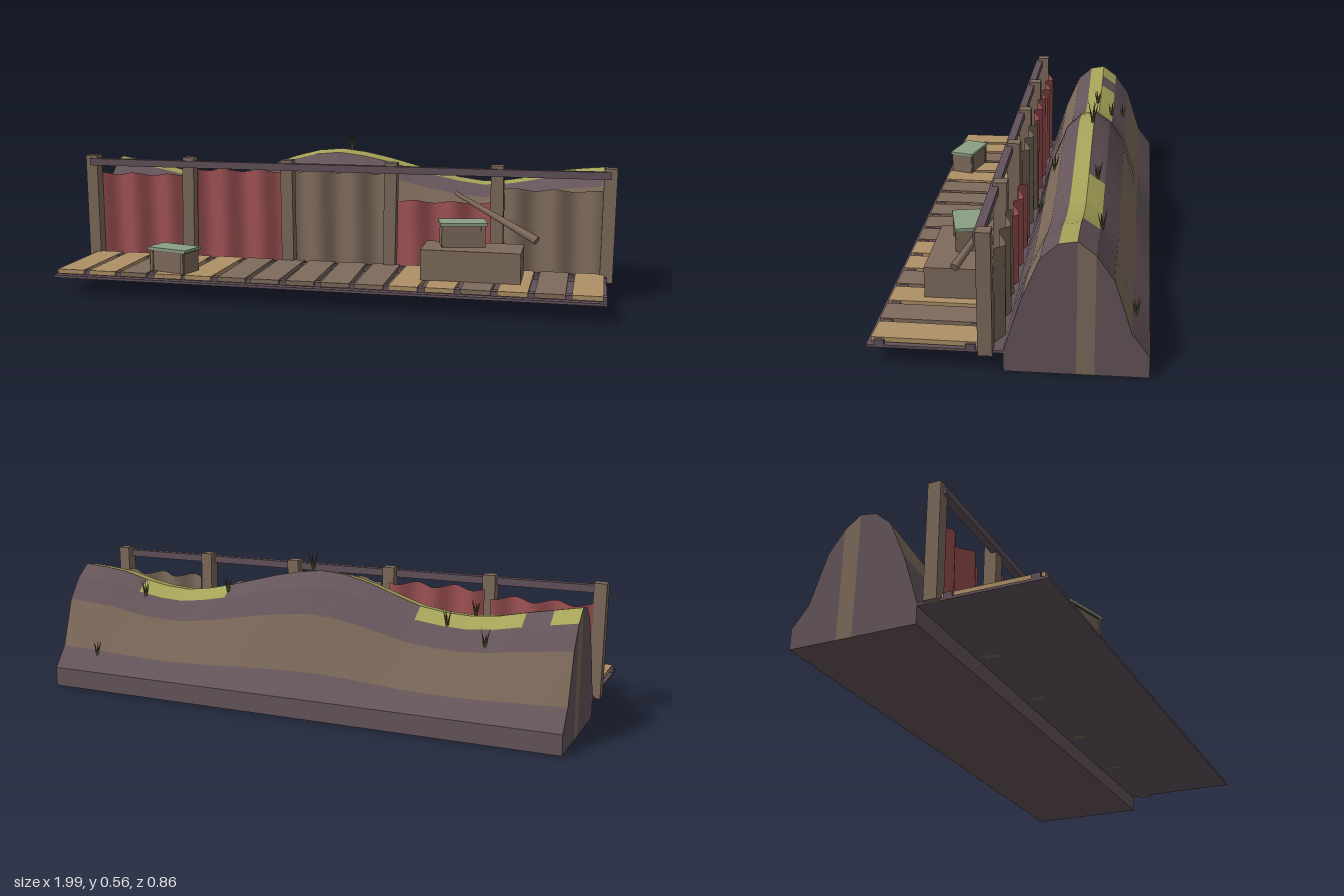
import * as THREE from 'three';

const mat = (name, color, extra = {}) => Object.assign(new THREE.MeshStandardMaterial({ color, ...extra }), { name });

export function createModel() {
  const root = new THREE.Group();
  root.name = 'trench';
  const M = {
    earth: mat('dark earth', 0x65555a, { flatShading: true }),
    clay: mat('brown clay', 0x7e6b5b, { flatShading: true }),
    turf: mat('yellow turf', 0xa5a258, { flatShading: true }),
    pale: mat('pale wood', 0xae9066),
    wood: mat('brown wood', 0x7e6b5b),
    dark: mat('dark wood', 0x62525a),
    red: mat('red cloth', 0x9c5052, { side: THREE.DoubleSide }),
    brown: mat('brown cloth', 0x7e6b5b, { side: THREE.DoubleSide }),
    green: mat('green lid', 0x8a9f85),
    grass: mat('grass', 0x6a653f),
  };
  const add = (parent, name, geo, material, x = 0, y = 0, z = 0, ry = 0) => {
    const m = new THREE.Mesh(geo, material);
    m.name = name;
    m.position.set(x, y, z);
    m.rotation.y = ry;
    parent.add(m);
    return m;
  };
  const box = (parent, name, w, h, d, material, x, y, z, ry) =>
    add(parent, name, new THREE.BoxGeometry(w, h, d), material, x, y, z, ry);
  let seed = 7;
  const rnd = () => (seed = (seed * 16807) % 2147483647) / 2147483647;

  // Earth bank: one cross-section swept along a wavy ridge
  const ridge = new THREE.SplineCurve([
    [-0.97, 0.43], [-0.8, 0.40], [-0.6, 0.368], [-0.4, 0.39], [-0.25, 0.445], [-0.05, 0.483],
    [0.15, 0.45], [0.32, 0.405], [0.5, 0.372], [0.65, 0.385], [0.8, 0.42], [0.97, 0.437],
  ].map(p => new THREE.Vector2(...p)));
  const ridgePts = ridge.getPoints(200);
  const height = x => (ridgePts.find(p => p.x >= x - 1e-6) || ridgePts[200]).y;
  const F = [0, 0.48, 0.84, 0.975, 1, 0.885, 0.67, 0.2, 0];
  const surfaceY = (x, i) => 0.07 + F[i] * (height(x) - 0.07);
  const zAt = i => 0.01 - 0.055 * i;
  const groundY = (x, z) => {
    const t = Math.min(7.99, Math.max(0, (0.01 - z) / 0.055)), i = Math.floor(t);
    return THREE.MathUtils.lerp(surfaceY(x, i), surfaceY(x, i + 1), t - i);
  };
  const faces = { earth: [], clay: [], turf: [] };
  const quad = (key, a, b, c, d) => faces[key].push(...a, ...b, ...c, ...a, ...c, ...d);
  const N = 21, L = 0.97;
  const at = (x, i) => i < 0 ? [x, 0, zAt(0)] : i > 8 ? [x, 0, zAt(8)] : [x, surfaceY(x, i), zAt(i)];
  const turfPatch = s => s === 0 || (s >= 2 && s <= 5) || (s >= 14 && s <= 17);
  for (let s = 0; s < N; s++) {
    const x0 = -L + (2 * L * s) / N, x1 = -L + (2 * L * (s + 1)) / N;
    for (let i = -1; i < 9; i++) {
      const key = i === 3 || (i === 4 && turfPatch(s)) ? 'turf' : i === 1 || i === 6 ? 'clay' : 'earth';
      quad(key, at(x0, i), at(x1, i), at(x1, i + 1), at(x0, i + 1));
    }
  }
  for (let i = 0; i < 8; i++) {
    const key = i === 4 ? 'clay' : 'earth';
    const strip = x => [[x, 0, zAt(i)], [x, 0, zAt(i + 1)], at(x, i + 1), at(x, i)];
    quad(key, ...strip(L));
    quad(key, ...strip(-L).reverse());
  }
  quad('earth', [-L, 0, zAt(8)], [L, 0, zAt(8)], [L, 0, zAt(0)], [-L, 0, zAt(0)]);
  const bank = new THREE.Group();
  bank.name = 'earthBank';
  root.add(bank);
  for (const key in faces) {
    const g = new THREE.BufferGeometry();
    g.setAttribute('position', new THREE.Float32BufferAttribute(faces[key], 3));
    g.computeVertexNormals();
    add(bank, key + 'Bands', g, M[key]);
  }

  // Grass tufts
  [[-0.675, -0.305], [-0.61, -0.2], [-0.53, -0.26], [-0.01, -0.205], [0.32, -0.24], [0.66, -0.27],
    [0.81, -0.385], [0.23, -0.035], [0.11, -0.075]].forEach(([x, z], k) => {
    const tuft = new THREE.Group();
    tuft.name = 'grassTuft';
    tuft.position.set(x, groundY(x, z) - 0.005, z);
    for (let j = 0; j < 5; j++) {
      const h = (k === 3 ? 0.075 : 0.05) + 0.025 * rnd();
      const blade = add(tuft, 'blade', new THREE.ConeGeometry(0.004, h, 4).translate(0, h / 2, 0), M.grass);
      const a = j * 1.26 + k;
      blade.rotation.set(0.25 * Math.cos(a), 0, 0.25 * Math.sin(a));
    }
    root.add(tuft);
  });

  // Duckboard floor
  box(root, 'floorBase', 1.94, 0.009, 0.42, M.dark, 0, 0.0645, 0.22);
  for (const z of [0.11, 0.39]) box(root, 'floorJoist', 1.94, 0.016, 0.03, M.dark, 0, 0.077, z);
  const paleBoards = [0, 1, 3, 4, 10, 11, 13, 15];
  for (let i = 0; i < 16; i++) {
    box(root, 'floorBoard', 0.1, 0.016, 0.345, paleBoards.includes(i) ? M.pale : M.wood,
      -0.97 + 0.12125 * (i + 0.5), 0.081, 0.243, (rnd() - 0.5) * 0.07);
  }

  // Posts and top rail
  const postX = i => -0.97 + 0.388 * i;
  for (let i = 0; i < 6; i++) {
    const p = box(root, 'post', 0.045, 0.405, 0.045, M.wood, postX(i), 0.2625, 0.0625);
    p.rotation.z = (i % 2 ? -1 : 1) * 0.012;
  }
  box(root, 'topRail', 1.95, 0.026, 0.028, M.dark, 0, 0.44, 0.08);

  // Hanging corrugated cloths
  [['red', 0.39], ['red', 0.415], ['brown', 0.42], ['red', 0.32], ['brown', 0.375]].forEach(([key, top], n) => {
    const g = new THREE.PlaneGeometry(0.36, 1, 40, 3);
    const p = g.attributes.position;
    for (let i = 0; i < p.count; i++) {
      const x = p.getX(i), v = p.getY(i) + 0.5;
      const wave = Math.cos((x / 0.36 + 0.5) * Math.PI * 5 + n + v * 0.4);
      p.setXYZ(i, x, 0.072 + v * (top - 0.072 + 0.006 * wave), 0.028 + 0.014 * wave);
    }
    g.computeVertexNormals();
    add(root, key + 'Cloth', g, M[key], postX(n) + 0.194);
  });

  // Crates
  box(root, 'largeCrate', 0.343, 0.107, 0.172, M.wood, 0.512, 0.1415, 0.217);
  const crate = (x, y, z, ry) => {
    const g = new THREE.Group();
    g.name = 'smallCrate';
    g.position.set(x, y, z);
    g.rotation.y = ry;
    box(g, 'crateBody', 0.152, 0.076, 0.084, M.wood, 0, 0.038, 0);
    for (const sx of [-1, 1]) for (const sz of [-1, 1])
      box(g, 'crateBatten', 0.012, 0.074, 0.008, M.wood, sx * 0.066, 0.037, sz * 0.042);
    box(g, 'crateRim', 0.158, 0.004, 0.09, M.dark, 0, 0.075, 0);
    box(g, 'crateLid', 0.164, 0.01, 0.096, M.green, 0, 0.081, 0);
    root.add(g);
  };
  crate(-0.542, 0.089, 0.342, -0.28);
  crate(0.472, 0.195, 0.19, 0.22);

  // Leaning club
  const a = new THREE.Vector3(0.43, 0.36, 0.06), b = new THREE.Vector3(0.73, 0.222, 0.195);
  const dir = a.clone().sub(b);
  const club = add(root, 'leaningClub', new THREE.CylinderGeometry(0.007, 0.015, dir.length(), 8), M.wood);
  club.position.copy(a).add(b).multiplyScalar(0.5);
  club.quaternion.setFromUnitVectors(new THREE.Vector3(0, 1, 0), dir.normalize());
  return root;
}
